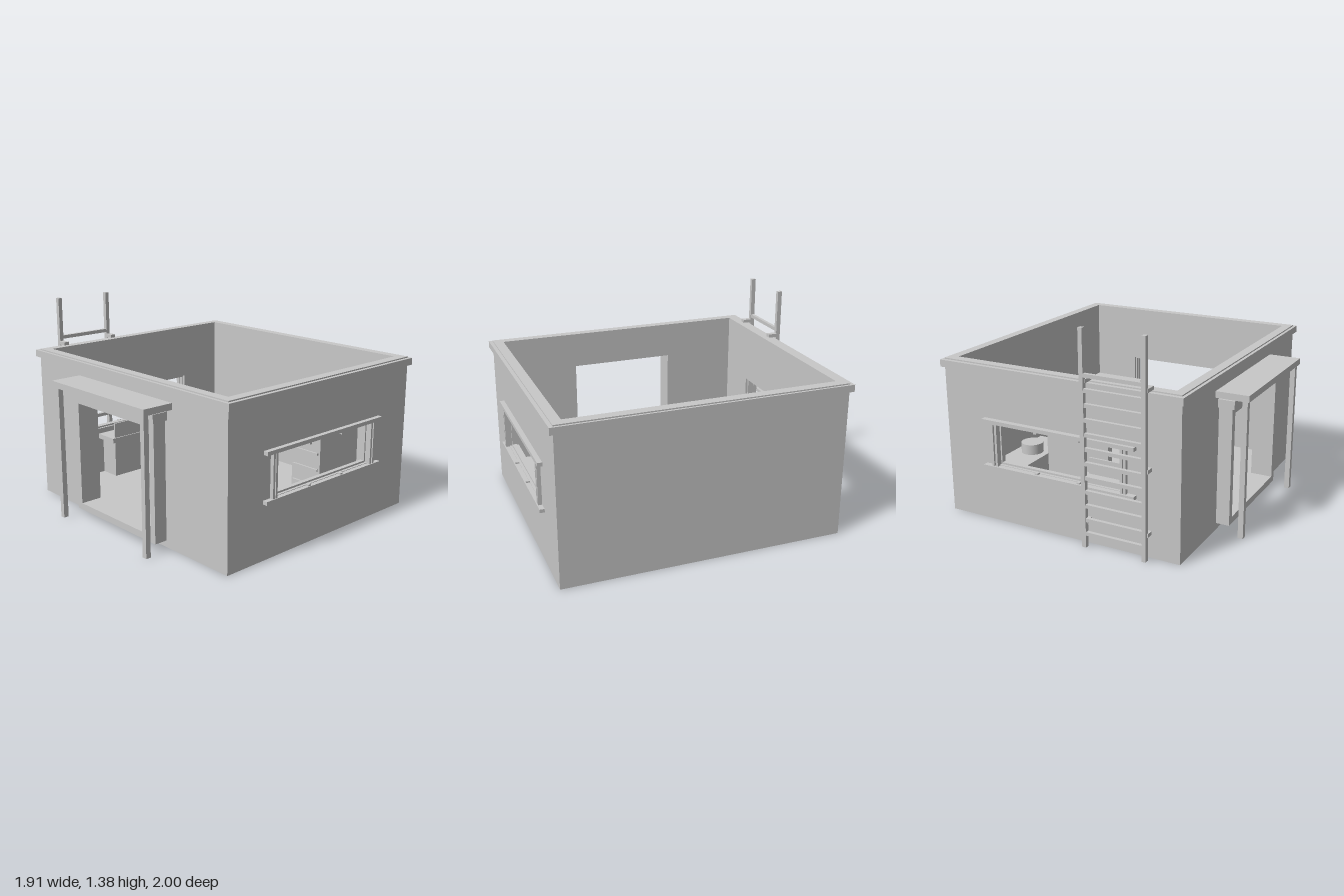
import * as THREE from 'three';

export function createModel() {
  const root = new THREE.Group();
  const grey = new THREE.MeshStandardMaterial({ color: 0xc8c8c8 });
  grey.name = 'light grey';

  const add = (name, geometry, parent = root) => {
    const mesh = new THREE.Mesh(geometry, grey);
    mesh.name = name;
    parent.add(mesh);
    return mesh;
  };
  // box given by its lower and upper limits on each axis
  const box = (name, x0, x1, y0, y1, z0, z1, parent = root) => {
    const m = add(name, new THREE.BoxGeometry(x1 - x0, y1 - y0, z1 - z0), parent);
    m.position.set((x0 + x1) / 2, (y0 + y1) / 2, (z0 + z1) / 2);
    return m;
  };
  const group = (name) => {
    const g = new THREE.Group();
    g.name = name;
    root.add(g);
    return g;
  };
  const rect = (Type, x0, x1, y0, y1) => new Type([
    [x0, y0], [x1, y0], [x1, y1], [x0, y1],
  ].map(([x, y]) => new THREE.Vector2(x, y)));
  // rectangular slab with a rectangular opening, extruded along z
  const pierced = (outer, hole, depth) => {
    const shape = rect(THREE.Shape, ...outer);
    shape.holes.push(rect(THREE.Path, ...hole));
    return new THREE.ExtrudeGeometry(shape, { depth, bevelEnabled: false });
  };

  // walls and floor
  const X0 = -0.74, X1 = 0.94, Z0 = -0.93, Z1 = 0.965, TOP = 1.055;
  const windowHole = [-0.355, 0.545, 0.393, 0.663];
  add('frontWall', pierced([X0, X1, 0, TOP], windowHole, 0.065)).position.z = 0.9;
  add('backWall', pierced([X0, X1, 0, TOP], windowHole, 0.063)).position.z = Z0;
  const leftSide = add('doorWall', pierced([-0.9, 0.867, 0, TOP], [-0.375, 0.355, 0.09, 0.81], 0.062));
  leftSide.rotation.y = Math.PI / 2;
  leftSide.position.x = X0;
  box('plainWall', 0.875, X1, 0, TOP, -0.867, 0.9);
  box('floor', -0.678, 0.875, 0, 0.05, -0.867, 0.9);

  // trim band around the top of the walls
  const trim = add('parapetTrim', pierced([-0.76, 0.955, -0.99, 0.957], [X0, X1, -Z1, -Z0], 0.047));
  trim.rotation.x = -Math.PI / 2;
  trim.position.y = 1.0;

  // window surrounds, front and back
  for (const [name, z0, z1, pz0, pz1, lz] of [
    ['frontWindow', Z1, 0.997, Z1, 0.99, 0.917],
    ['backWindow', -0.967, Z0, -0.957, Z0, -0.913],
  ]) {
    const g = group(name);
    box('sill', -0.45, 0.643, 0.367, 0.39, z0, z1, g);
    box('lintel', -0.45, 0.643, 0.675, 0.7, z0, z1, g);
    add('windowLiner', pierced(windowHole, [-0.343, 0.535, 0.405, 0.651], 0.03), g).position.z = lz;
    for (const x of [-0.39, -0.367, 0.54, 0.567]) {
      box('windowPost', x, x + 0.016, 0.39, 0.675, pz0, pz1, g);
    }
    for (const x of [-0.06, 0.247]) {
      box('lowerPeg', x - 0.01, x + 0.01, 0.39, 0.4, pz0, pz1, g);
      box('upperPeg', x - 0.01, x + 0.01, 0.66, 0.675, pz0, pz1, g);
    }
  }

  // door frame
  const door = group('doorFrame');
  box('header', -0.85, X0, 0.83, 0.885, -0.42, 0.44, door);
  box('headBoard', -0.83, X0, 0.79, 0.83, -0.355, 0.375, door);
  box('threshold', -0.83, X0, 0.045, 0.09, -0.355, 0.375, door);
  for (const z of [-0.4, 0.375]) box('jamb', -0.83, X0, 0.045, 0.83, z, z + 0.045, door);

  // canopy on two posts
  const canopy = group('canopy');
  box('canopyRoof', -0.957, X0, 0.905, 0.947, -0.46, 0.487, canopy);
  for (const z of [-0.445, 0.435]) box('canopyPost', -0.943, -0.908, 0, 0.905, z, z + 0.035, canopy);

  // ladder on the back wall
  const ladder = group('ladder');
  const bracket = (name, x, y, z1) =>
    box(name, x - 0.019, x + 0.019, y, y + 0.024, -0.98, z1, ladder);
  for (const x of [-0.532, -0.121]) {
    box('rail', x - 0.014, x + 0.014, 0, 1.385, -1.0, -0.97, ladder);
    bracket('topBracket', x, 1.053, -0.91);
    bracket('lowerBracket', x, 0.155, Z0);
  }
  bracket('middleBracket', -0.532, 0.56, Z0);
  for (let i = 1; i <= 12; i++) {
    const y = i * 0.0918;
    box('rung', -0.518, -0.135, y - 0.012, y + 0.012, -0.997, -0.974, ladder);
  }

  // worktop below the back window
  const desk = group('worktop');
  box('deskTop', -0.31, 0.037, 0.32, 0.355, -0.867, -0.69, desk);
  box('deskBody', -0.27, 0.0, 0.05, 0.32, -0.867, -0.72, desk);
  box('deskPanel', -0.285, 0.012, 0.355, 0.465, -0.71, -0.698, desk);
  for (const x of [-0.23, -0.14, -0.045]) {
    box('panelPeg', x - 0.006, x + 0.006, 0.4, 0.412, -0.715, -0.71, desk);
  }

  // counter with a round unit, and a partition beside it
  box('counter', 0.485, 0.723, 0.05, 0.32, -0.752, -0.205);
  add('roundUnit', new THREE.CylinderGeometry(0.075, 0.075, 0.07, 32)).position.set(0.603, 0.355, -0.48);
  box('partition', 0.012, 0.488, 0.05, 0.595, -0.465, -0.413);

  // drawer cabinet and low chest near the front wall
  const cabinet = group('drawerCabinet');
  box('cabinetBody', 0.37, 0.767, 0.05, 0.55, 0.46, 0.708, cabinet);
  for (let i = 0; i < 4; i++) {
    const y = 0.07 + i * 0.115;
    box('drawerPull', 0.357, 0.37, y, y + 0.015, 0.475, 0.692, cabinet);
  }
  box('chest', -0.31, -0.053, 0.05, 0.31, 0.72, 0.897);

  return root;
}
